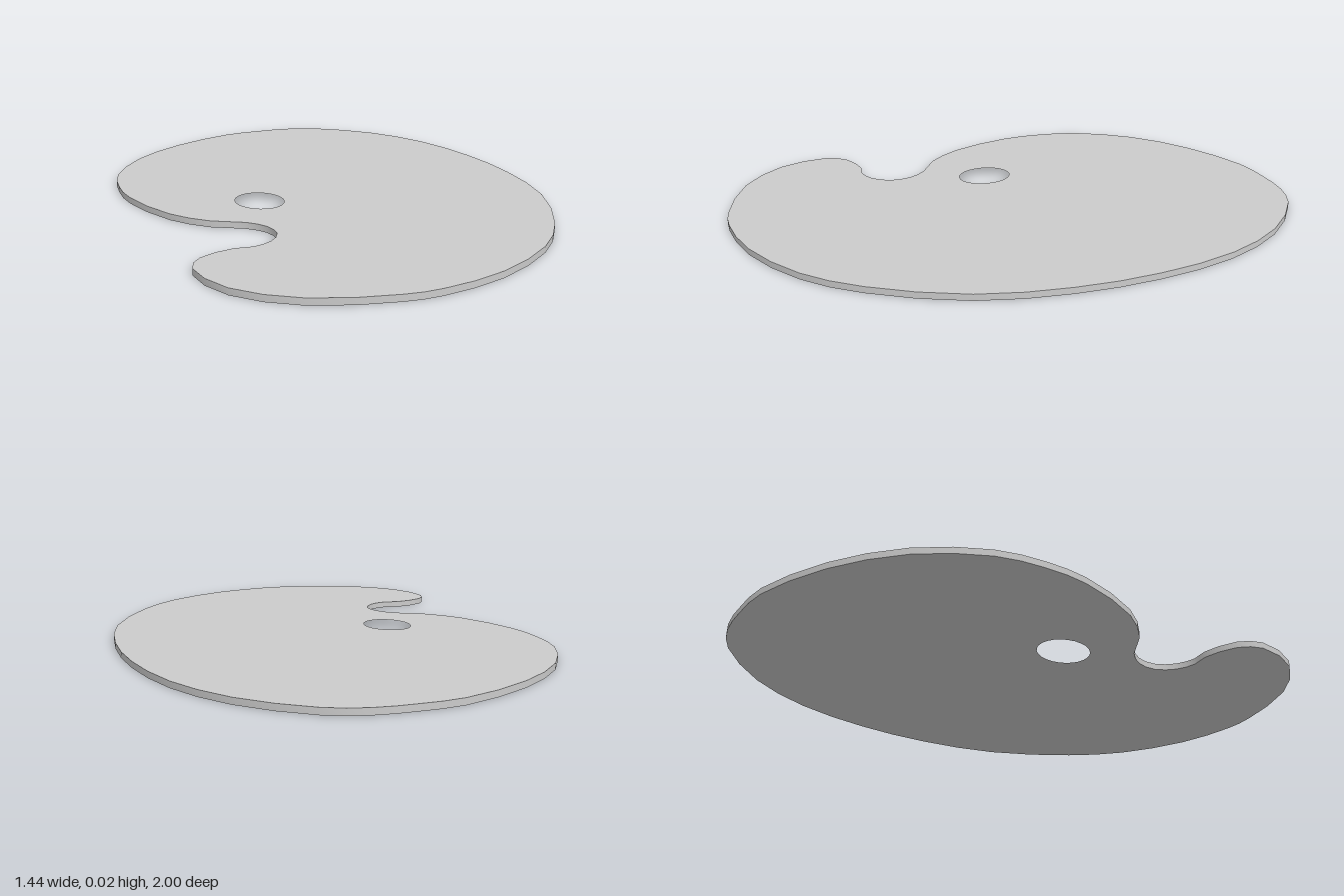
import * as THREE from 'three';
import { toCreasedNormals } from 'three/addons/utils/BufferGeometryUtils.js';

const THICKNESS = 0.022;

// Board outline seen from above, as [x, z], clockwise from the back
const OUTLINE = [
  [0, -1], [0.14, -1], [0.27, -0.96], [0.475, -0.795], [0.615, -0.57], [0.695, -0.29], [0.72, 0],
  [0.685, 0.305], [0.55, 0.61], [0.405, 0.79], [0.18, 0.935], [-0.04, 0.995], [-0.16, 0.995],
  [-0.415, 0.93], [-0.59, 0.79], [-0.65, 0.61], // rounded horn
  [-0.61, 0.53], [-0.495, 0.485], [-0.435, 0.49], [-0.37, 0.46], [-0.33, 0.395], [-0.34, 0.32], // notch
  [-0.395, 0.255], [-0.5, 0.2], [-0.61, 0.08], [-0.705, -0.155], [-0.72, -0.31], [-0.7, -0.47],
  [-0.585, -0.685], [-0.39, -0.86], [-0.145, -0.98],
];

export function createModel() {
  const group = new THREE.Group();
  group.name = 'paintersPalette';

  // Smooth closed curve through the outline (shape y is -z)
  const curve = new THREE.CatmullRomCurve3(
    OUTLINE.map(([x, z]) => new THREE.Vector3(x, -z, 0)), true, 'centripetal');
  const points = curve.getPoints(OUTLINE.length * 2).slice(0, -1);
  const shape = new THREE.Shape(points.map((p) => new THREE.Vector2(p.x, p.y)));

  // Slightly tilted oval thumb hole
  const hole = new THREE.Path();
  hole.absellipse(-0.285, -0.037, 0.083, 0.099, 0, Math.PI * 2, true, 0.2);
  shape.holes.push(hole);

  // Flat board lying on the ground, rounded rim with sharp top and bottom edges
  const geometry = new THREE.ExtrudeGeometry(shape, {
    depth: THICKNESS, bevelEnabled: false, curveSegments: 12,
  });
  geometry.rotateX(-Math.PI / 2);
  const board = new THREE.Mesh(
    toCreasedNormals(geometry, 0.7), new THREE.MeshStandardMaterial({ color: 0xcccccc }));
  board.name = 'paletteBoard';
  group.add(board);

  return group;
}
